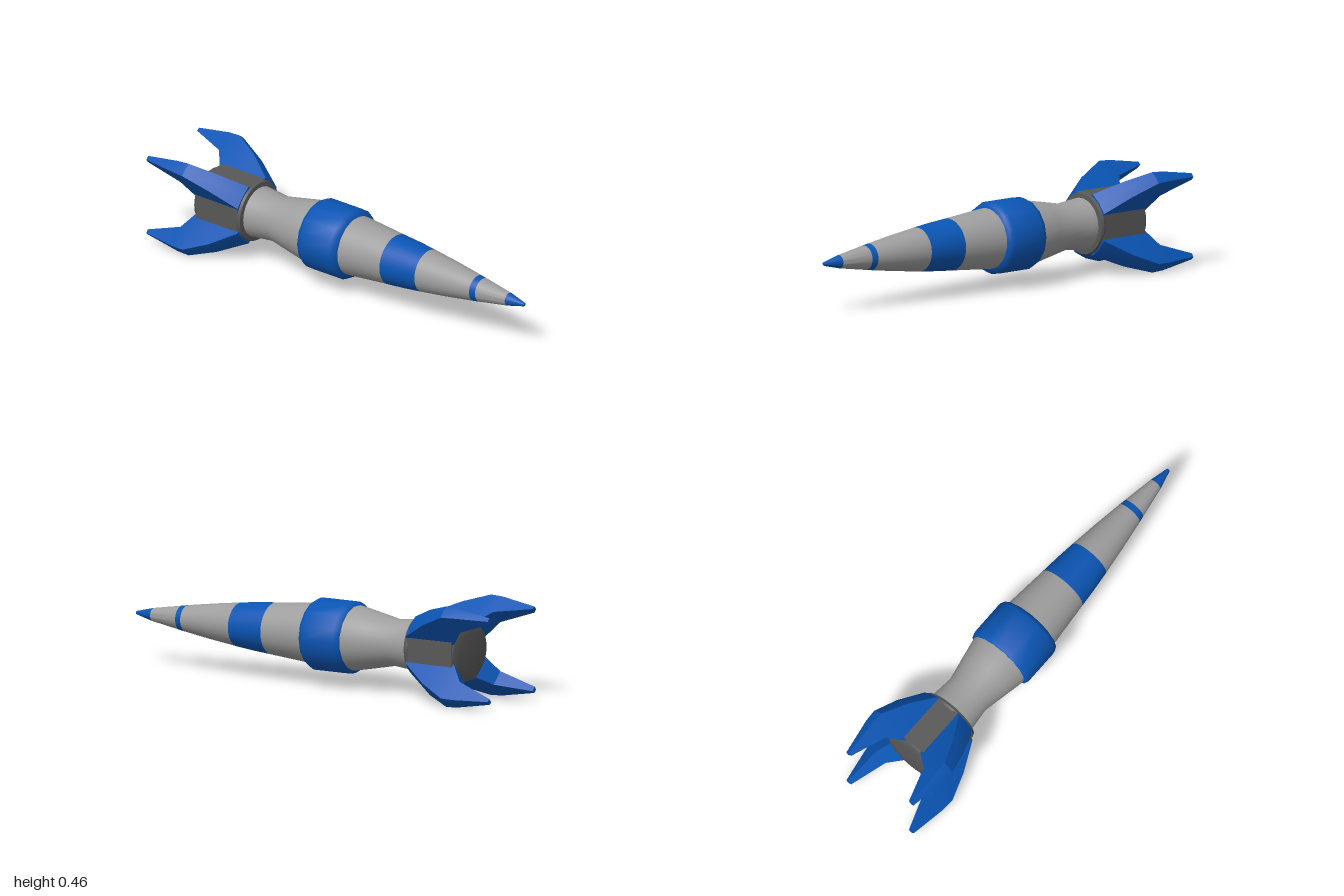
import * as THREE from 'three';
import { toCreasedNormals } from 'three/addons/utils/BufferGeometryUtils.js';

const AXIS_Y = 0.23;

// Solid of revolution about the z axis; profile is [z, radius] with rising z
function turned(profile, segments) {
  const pts = profile.map(([z, r]) => new THREE.Vector2(r, z));
  return new THREE.LatheGeometry(pts, segments).rotateX(Math.PI / 2);
}

// Fin lofted through cross-sections: [z, inner radius, outer radius, inner half width, outer half width]
function finGeometry(sections) {
  const pos = [], idx = [], n = 5;
  for (const [z, rin, rout, wi, wo] of sections) {
    pos.push(-wi, rin, z, wi, rin, z, wo, rout, z, 0, rout + wo * 0.12, z, -wo, rout, z);
  }
  for (let s = 0; s < sections.length - 1; s++) {
    for (let j = 0; j < n; j++) {
      const a = s * n + j, b = s * n + (j + 1) % n;
      idx.push(a, a + n, b + n, a, b + n, b);
    }
  }
  const last = (sections.length - 1) * n;
  for (let j = 1; j < n - 1; j++) {
    idx.push(0, j, j + 1, last, last + j + 1, last + j);
  }
  const g = new THREE.BufferGeometry();
  g.setAttribute('position', new THREE.Float32BufferAttribute(pos, 3));
  g.setIndex(idx);
  return toCreasedNormals(g, 0.45);
}

export function createModel() {
  const grey = new THREE.MeshStandardMaterial({ color: 0x9e9e9e });
  const darkGrey = new THREE.MeshStandardMaterial({ color: 0x585858 });
  const blue = new THREE.MeshStandardMaterial({ color: 0x0a55b4 });
  const model = new THREE.Group();
  model.name = 'rocket';
  const rocket = new THREE.Group();
  rocket.name = 'rocketAssembly';
  rocket.position.y = AXIS_Y;
  model.add(rocket);

  const add = (name, geometry, material) => {
    const mesh = new THREE.Mesh(geometry, material);
    mesh.name = name;
    rocket.add(mesh);
    return mesh;
  };

  // Hull: alternating painted bands from the waist to the nose
  const hull = [
    ['rearHull', grey, [[-0.52, 0.118], [-0.47, 0.113], [-0.39, 0.105], [-0.28, 0.127], [-0.165, 0.149], [-0.06, 0.149]]],
    ['middleHull', grey, [[-0.06, 0.146], [0.04, 0.137], [0.265, 0.117]]],
    ['wideBand', blue, [[0.265, 0.117], [0.36, 0.109], [0.45, 0.099]]],
    ['frontHull', grey, [[0.45, 0.099], [0.59, 0.081], [0.73, 0.06]]],
    ['narrowBand', blue, [[0.73, 0.06], [0.76, 0.055]]],
    ['noseHull', grey, [[0.76, 0.055], [0.91, 0.03]]],
    ['noseTip', blue, [[0.91, 0.03], [0.995, 0.009], [1, 0.007], [1, 0]]],
  ];
  for (const [name, material, profile] of hull) {
    add(name, toCreasedNormals(turned(profile, 32), 0.5), material);
  }

  // Ring around the waist, its rounded ends sinking into the hull
  add('waistRing', toCreasedNormals(turned([
    [-0.18, 0.143], [-0.172, 0.157], [-0.15, 0.165], [0.015, 0.165], [0.036, 0.155], [0.044, 0.132],
  ], 16), 1.1), blue);

  // Engine: collar, eight-sided housing and rear cap
  add('engineCollar', toCreasedNormals(turned([
    [-0.535, 0.1], [-0.535, 0.138], [-0.525, 0.142], [-0.513, 0.138], [-0.51, 0.11],
  ], 32), 0.5), darkGrey);
  const housing = new THREE.CylinderGeometry(0.147, 0.147, 0.24, 8);
  housing.rotateY(Math.PI / 8).rotateX(Math.PI / 2).translate(0, 0, -0.648);
  add('engineHousing', toCreasedNormals(housing, 0.3), darkGrey);
  add('engineCap', turned([
    [-0.785, 0], [-0.783, 0.08], [-0.778, 0.132], [-0.765, 0.136],
  ], 32), darkGrey);

  // Four swept fins on the diagonals
  const fin = finGeometry([
    [-0.525, 0.11, 0.142, 0.06, 0.056],
    [-0.65, 0.11, 0.23, 0.06, 0.043],
    [-0.77, 0.115, 0.29, 0.059, 0.032],
    [-0.83, 0.195, 0.289, 0.038, 0.028],
    [-1, 0.25, 0.267, 0.013, 0.01],
  ]);
  for (let i = 0; i < 4; i++) {
    add('fin' + (i + 1), fin, blue).rotation.z = Math.PI / 4 + i * Math.PI / 2;
  }
  return model;
}
